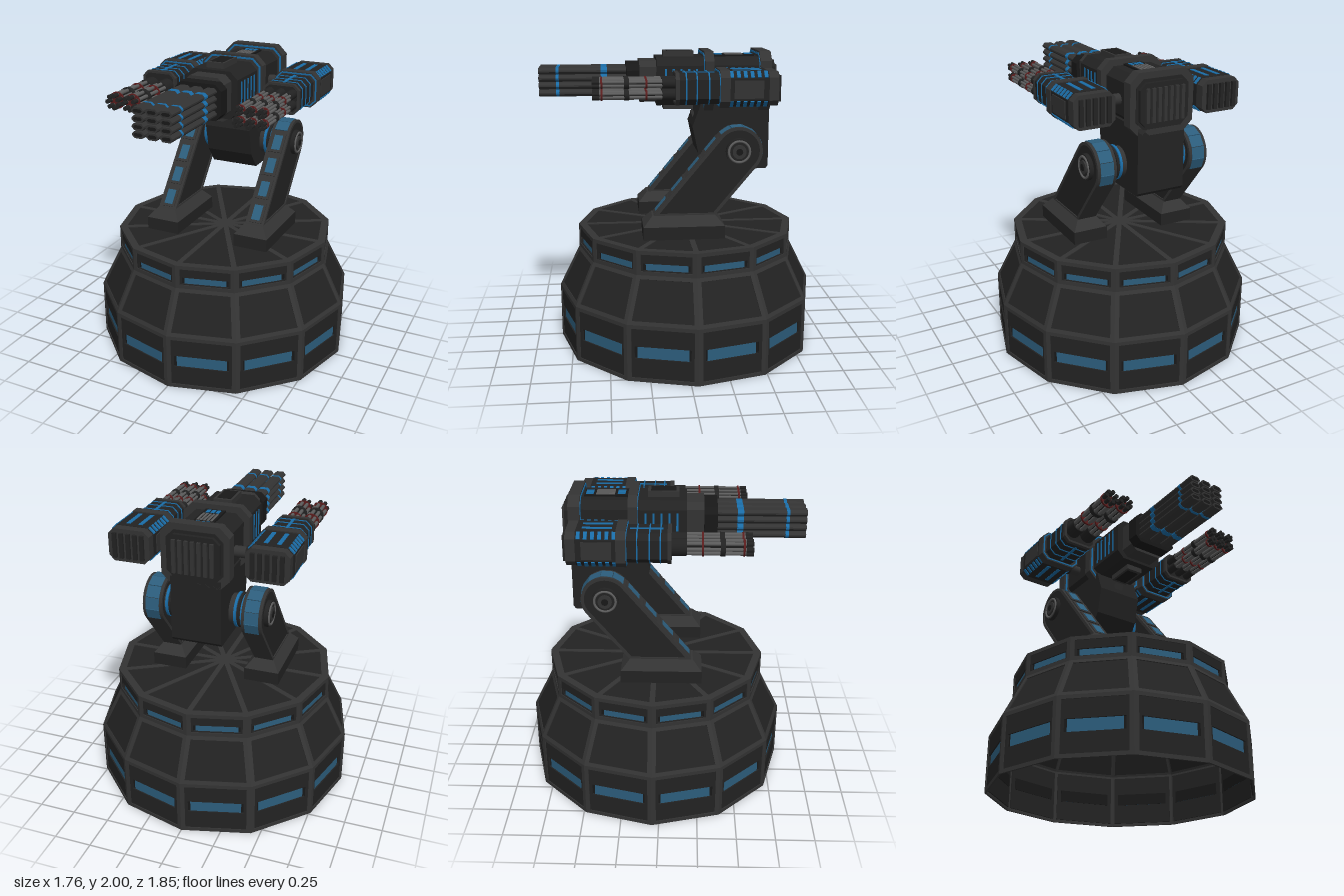
import * as THREE from 'three';

const DARK = 0x222222, MID = 0x333333, BLACK = 0x181818, BLUE = 0x1a6ca6, PANE = 0x2c5d7c, STEEL = 0x5c5c5c, RED = 0x5a1c1c;
const mats = {};
const mat = (c) => (mats[c] ??= new THREE.MeshStandardMaterial({ color: c, side: THREE.DoubleSide }));

function add(g, name, geo, color, p = [0, 0, 0], r = [0, 0, 0]) {
  const m = new THREE.Mesh(geo, mat(color));
  m.name = name;
  m.position.set(...p);
  m.rotation.set(...r);
  g.add(m);
  return m;
}
function sub(parent, name) {
  const g = new THREE.Group();
  g.name = name;
  parent.add(g);
  return g;
}
const box = (w, h, d) => new THREE.BoxGeometry(w, h, d);
const poly = (pts) => new THREE.Shape(pts.map((p) => new THREE.Vector2(...p)));
const extrude = (shape, depth) => new THREE.ExtrudeGeometry(shape, { depth, bevelEnabled: false, curveSegments: 16 });
// profile in (z, y) with its width along x, centred
const sideExtrude = (shape, w) => extrude(shape, w).translate(0, 0, -w / 2).rotateY(-Math.PI / 2);
const rod = (r, z0, z1, n = 12) => new THREE.CylinderGeometry(r, r, z1 - z0, n).rotateX(Math.PI / 2).translate(0, 0, (z0 + z1) / 2);
const axle = (r, w, n = 24) => new THREE.CylinderGeometry(r, r, w, n).rotateZ(Math.PI / 2);

// chamfered rectangle
function octPts(w, h, c) {
  const a = w / 2, b = h / 2;
  return [[-a + c, -b], [a - c, -b], [a, -b + c], [a, b - c], [a - c, b], [-a + c, b], [-a, b - c], [-a, -b + c]];
}
const oct = (w, h, c, z0, z1) => extrude(poly(octPts(w, h, c)), z1 - z0).translate(0, 0, z0);
function octFrame(w, h, c, t, z0, z1) {
  const s = poly(octPts(w, h, c));
  s.holes.push(poly(octPts(w - 2 * t, h - 2 * t, c - t * 0.6)));
  return extrude(s, z1 - z0).translate(0, 0, z0);
}

// one ring of the twelve-sided base: frame, recessed panel and optional window
function baseRing(parent, name, y0, r0, y1, r1, win) {
  const g = sub(parent, name), A = Math.PI / 12;
  const tilt = Math.atan2((r0 - r1) * Math.cos(A), y1 - y0);
  const h = Math.hypot((r0 - r1) * Math.cos(A), y1 - y0);
  const w0 = r0 * Math.sin(A), w1 = r1 * Math.sin(A);
  const trap = (s, b) => {
    const at = (y) => w0 + ((w1 - w0) * y) / h - s;
    return poly([[-at(b), b], [at(b), b], [at(h - b), h - b], [-at(h - b), h - b]]);
  };
  const frame = trap(0, 0);
  frame.holes.push(trap(0.028, 0.025));
  const panel = trap(0.02, 0.02);
  if (win) {
    const [w, b, t] = win;
    panel.holes.push(poly([[-w / 2, b], [w / 2, b], [w / 2, t], [-w / 2, t]]));
  }
  const fg = extrude(frame, 0.012).translate(0, 0, -0.012);
  const pg = extrude(panel, 0.015).translate(0, 0, -0.021);
  for (let i = 0; i < 12; i++) {
    const turn = sub(g, 'facet');
    turn.rotation.y = (i + 0.5) * 2 * A;
    const f = sub(turn, 'facetPlane');
    f.position.set(0, y0, r0 * Math.cos(A));
    f.rotation.x = -tilt;
    add(f, 'frame', fg, MID);
    add(f, 'panel', pg, DARK);
    if (win) {
      const [w, b, t] = win;
      add(f, 'windowSurround', box(w, t - b, 0.006), BLACK, [0, (b + t) / 2, -0.022]);
      add(f, 'window', box(w - 0.03, t - b, 0.008), PANE, [0, (b + t) / 2, -0.019]);
    }
  }
}

function base(root) {
  const g = sub(root, 'base');
  g.position.z = -0.045;
  baseRing(g, 'lowerWall', 0, 0.88, 0.38, 0.88, [0.36, 0.155, 0.235]);
  baseRing(g, 'slopedWall', 0.38, 0.88, 0.66, 0.74);
  baseRing(g, 'upperWall', 0.66, 0.74, 0.82, 0.74, [0.3, 0.03, 0.075]);
  add(g, 'deck', new THREE.CylinderGeometry(0.735, 0.735, 0.015, 12), DARK, [0, 0.805, 0]);
  add(g, 'deckRim', new THREE.RingGeometry(0.69, 0.74, 12, 1, Math.PI / 2).rotateX(-Math.PI / 2), MID, [0, 0.82, 0]);
  for (let i = 0; i < 6; i++) add(g, 'deckRib', box(0.035, 0.006, 1.4), MID, [0, 0.814, 0], [0, (i * Math.PI) / 6, 0]);
}

// leaning arm with rounded top
function armShape(r, b) {
  const x = -(b - 0.965) * 0.828, s = new THREE.Shape();
  s.moveTo(x - r * 1.3, b);
  s.lineTo(x + r * 1.3, b);
  s.absarc(-0.35, 1.385, r, 0.69, 0.69 + Math.PI, false);
  s.closePath();
  return s;
}
function support(root, side) {
  const g = sub(root, side > 0 ? 'leftSupport' : 'rightSupport');
  g.position.x = side * 0.327;
  add(g, 'foot', box(0.235, 0.085, 0.53), DARK, [0, 0.862, 0.005]);
  const taper = new THREE.CylinderGeometry(Math.SQRT1_2, 1 * Math.SQRT1_2, 1, 4).rotateY(Math.PI / 4);
  const p = taper.attributes.position;
  for (let i = 0; i < p.count; i++) {
    const top = p.getY(i) > 0;
    p.setX(i, Math.sign(Math.round(p.getX(i) * 100)) * (top ? 0.065 : 0.1175));
    p.setZ(i, Math.sign(Math.round(p.getZ(i) * 100)) * (top ? 0.205 : 0.265));
  }
  add(g, 'footTop', taper.scale(1, 0.066, 1).toNonIndexed(), MID, [0, 0.936, 0.005]).geometry.computeVertexNormals();
  const rim = armShape(0.155, 0.955);
  rim.holes.push(armShape(0.135, 0.98));
  add(g, 'armRim', sideExtrude(rim, 0.13), MID);
  add(g, 'armCore', sideExtrude(armShape(0.15, 0.96), 0.116), DARK);
  // lit panels up the sloping front and around the rounded top
  for (let i = 0; i < 4; i++) {
    const y = 1.03 + i * 0.13, pos = [0, y, 0.2 - (y - 0.965) * 0.828];
    add(g, 'panelFrame', box(0.095, 0.14, 0.014), MID, pos, [-0.69, 0, 0]);
    add(g, 'panelLight', box(0.06, 0.105, 0.02), PANE, pos, [-0.69, 0, 0]);
  }
  for (let i = 0; i < 6; i++) {
    const a = 1.0 + i * 0.5;
    add(g, 'topLight', box(0.09, 0.075, 0.008), PANE, [0, 1.385 + 0.152 * Math.sin(a), -0.35 + 0.152 * Math.cos(a)], [-a, 0, 0]);
  }
  // pivot hub outside, ringed joint inside
  const c = (x) => [side * x, 1.385, -0.35];
  add(g, 'hub', axle(0.085, 0.06), DARK, c(0.055));
  add(g, 'hubRing', new THREE.TorusGeometry(0.068, 0.008, 8, 32).rotateY(Math.PI / 2), STEEL, c(0.086));
  add(g, 'hubCap', axle(0.045, 0.02), MID, c(0.085));
  add(g, 'hubBolt', axle(0.022, 0.01), BLACK, c(0.094));
  add(g, 'joint', axle(0.1, 0.12), MID, c(-0.11));
  for (let i = 0; i < 3; i++) add(g, 'jointRing', axle(0.112, 0.016), i % 2 ? DARK : BLUE, c(-0.078 - i * 0.022));
}

function head(root) {
  const g = sub(root, 'head');
  const mount = poly([[-0.13, 1.66], [-0.075, 1.51], [-0.115, 1.33], [-0.2, 1.22], [-0.57, 1.22], [-0.585, 1.24], [-0.585, 1.66]]);
  add(g, 'mount', sideExtrude(mount, 0.325), DARK);
  add(g, 'mountNotch', box(0.06, 0.07, 0.02), MID, [0, 1.56, -0.098], [0.35, 0, 0]);
  const h = sub(g, 'gunHousing');
  h.position.y = 1.805;
  add(h, 'rearBody', oct(0.36, 0.31, 0.05, -0.59, -0.15), DARK);
  add(h, 'frontBody', oct(0.36, 0.31, 0.05, -0.15, 0.16), DARK);
  add(h, 'neck', oct(0.275, 0.27, 0.04, 0.16, 0.27), MID);
  add(h, 'muzzleBlock', oct(0.32, 0.23, 0.04, 0.27, 0.355), BLACK);
  for (const [a, b] of [[-0.21, -0.15], [-0.585, -0.51]]) {
    add(h, 'clamp', oct(0.435, 0.39, 0.06, a, b), MID);
    add(h, 'clampLight', octFrame(0.41, 0.365, 0.055, 0.012, b, b + 0.004), BLUE);
  }
  // rear grille
  add(h, 'rearCap', oct(0.33, 0.27, 0.04, -0.615, -0.585), DARK);
  for (let i = -3; i <= 3; i++) add(h, 'rearFin', box(0.022, 0.21, 0.025), MID, [i * 0.04, 0, -0.62]);
  // hatches above and below the front body, vent on the rear roof
  for (const s of [1, -1]) {
    add(h, 'hatch', box(0.12, 0.04, 0.2), MID, [0, s * 0.172, 0.01]);
    add(h, 'hatchInset', box(0.09, 0.004, 0.16), BLACK, [0, s * 0.192, 0.01]);
    for (let i = 0; i < 5; i++) add(h, 'sideLight', box(0.006, 0.17, 0.014), BLUE, [s * 0.181, 0, -0.1 + i * 0.05]);
  }
  add(h, 'roofVent', box(0.13, 0.016, 0.28), BLACK, [0, 0.158, -0.355]);
  for (let i = -2; i <= 2; i++) add(h, 'ventSlat', box(0.014, 0.012, 0.12), STEEL, [i * 0.022, 0.164, -0.36]);
  for (const z of [-0.462, -0.258]) for (let i = -1; i <= 1; i++) add(h, 'ventLight', box(0.022, 0.006, 0.05), BLUE, [i * 0.032, 0.166, z]);
  // main barrels: three columns of four flattened barrels
  for (let c = -1; c <= 1; c++) for (let r = 0; r < 4; r++) {
    const b = sub(h, 'mainBarrel');
    b.position.set(c * 0.092, -0.07 + r * 0.0475, 0);
    add(b, 'barrel', oct(0.08, 0.042, 0.016, 0.34, 0.92), MID);
    add(b, 'bore', oct(0.055, 0.02, 0.008, 0.918, 0.922), BLACK);
    for (const [p, q] of [[0.48, 0.52], [0.79, 0.81]]) add(b, 'barrelLight', oct(0.083, 0.045, 0.017, p, q), BLUE);
  }
}

// rotary bundle of n thin barrels on a ring of radius R
function bundle(parent, x, y, R, n, r, z0, z1) {
  const g = sub(parent, 'barrelBundle'), full = R + r;
  g.position.set(x, y, 0);
  add(g, 'bundleHousing', rod(full, z0 - 0.03, z0 + 0.1, 16), DARK);
  add(g, 'core', rod(R * 0.55, z0, z1 - 0.06), BLACK);
  for (let i = 0; i < n; i++) {
    const a = ((i + 0.5) / n) * Math.PI * 2;
    add(g, 'thinBarrel', rod(r * 0.85, z0, z1, 8), STEEL, [R * Math.cos(a), R * Math.sin(a), 0]);
    add(g, 'muzzle', rod(r * 1.05, z1 - 0.04, z1 + 0.003, 8), DARK, [R * Math.cos(a), R * Math.sin(a), 0]);
  }
  for (const z of [z0 + 0.19, z1 - 0.06]) add(g, 'bundleRing', rod(full * 1.02, z, z + 0.012, 16), RED);
  add(g, 'bundleCollar', rod(full * 1.02, z0 + 0.3, z0 + 0.33, 16), DARK);
}

function pod(root, side) {
  const g = sub(root, side > 0 ? 'leftPod' : 'rightPod');
  g.position.set(side * 0.438, side > 0 ? 1.802 : 1.788, 0);
  add(g, 'podRear', oct(0.27, 0.21, 0.035, -0.56, -0.48), MID);
  add(g, 'podBody', oct(0.28, 0.215, 0.04, -0.5, -0.24), DARK);
  add(g, 'podClamp', oct(0.295, 0.228, 0.042, -0.26, -0.2), MID);
  add(g, 'clampLight', octFrame(0.28, 0.213, 0.038, 0.009, -0.2, -0.196), BLUE);
  add(g, 'podFront', oct(0.235, 0.185, 0.035, -0.2, 0.06), DARK);
  add(g, 'podFace', octFrame(0.245, 0.195, 0.037, 0.015, 0.045, 0.07), MID);
  for (let i = -2; i <= 2; i++) add(g, 'rearFin', box(0.025, 0.16, 0.025), DARK, [i * 0.045, 0, -0.566]);
  for (const s of [1, -1]) {
    // lit strips on the faces and vents along the chamfers
    for (const x of [-0.04, 0.04]) add(g, 'bodyStrip', box(0.026, 0.008, 0.18), BLUE, [x, s * 0.107, -0.375]);
    add(g, 'frontStrip', box(0.018, 0.008, 0.2), BLUE, [0, s * 0.093, -0.08]);
    add(g, 'sidePlate', box(0.012, 0.11, 0.18), MID, [s * 0.14, 0, -0.375]);
    for (const t of [1, -1]) for (let i = 0; i < 6; i++)
      add(g, 'ventLight', box(0.05, 0.01, 0.022), BLUE, [s * 0.121, t * 0.0885, -0.48 + i * 0.042], [0, 0, -s * t * Math.PI / 4]);
  }
  for (const z of [-0.14, -0.065, 0.0]) add(g, 'lightBand', octFrame(0.243, 0.193, 0.037, 0.012, z, z + 0.008), BLUE);
  // arm joining the pod to the head
  add(g, 'link', axle(0.036, 0.14, 16), MID, [-side * 0.2, -0.005, -0.375]);
  add(g, 'linkCollar', axle(0.046, 0.04, 16), DARK, [-side * 0.16, -0.005, -0.375]);
  if (side > 0) {
    for (let c = -1; c <= 1; c++) for (const y of [-0.035, 0.035]) bundle(g, c * 0.075, y, 0.019, 5, 0.011, 0.05, 0.57);
  } else {
    for (const x of [-0.057, 0.057]) bundle(g, x, 0, 0.039, 7, 0.014, 0.06, 0.555);
  }
}

export function createModel() {
  const root = new THREE.Group();
  root.name = 'gunTurret';
  base(root);
  head(root);
  for (const side of [1, -1]) {
    support(root, side);
    pod(root, side);
  }
  return root;
}
